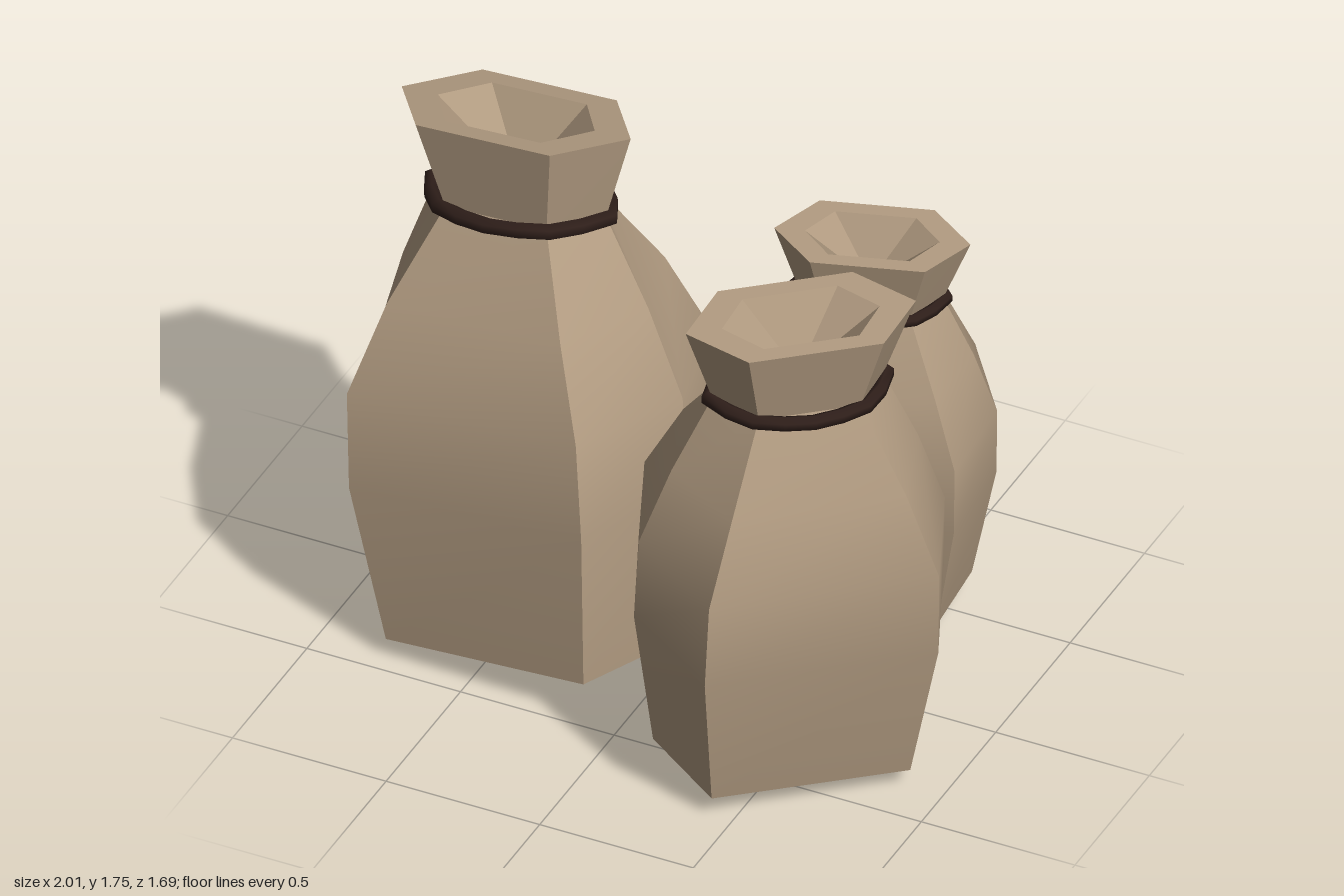
import * as THREE from 'three';
import { toCreasedNormals } from 'three/addons/utils/BufferGeometryUtils.js';

const cloth = new THREE.MeshStandardMaterial({ color: 0xb09a80 });
const cord = new THREE.MeshStandardMaterial({ color: 0x2f1f1a });

// Six-sided ring: long tips at +-tip on x, four corners at (+-a, +-b)
const hexRing = (y, tip, a, b) =>
  [[tip, 0], [a, b], [-a, b], [-tip, 0], [-a, -b], [a, -b]].map(([x, z]) => new THREE.Vector3(x, y, z));

// Rings from the base centre, up the outside, over the rim and down to the inner point
const rings = [
  [0, 0, 0, 0],
  [0, 0.395, 0.302, 0.31],
  [0.47, 0.47, 0.355, 0.365],
  [0.75, 0.465, 0.35, 0.357],
  [1.0, 0.375, 0.265, 0.27],
  [1.25, 0.26, 0.155, 0.13],
  [1.505, 0.35, 0.205, 0.173],
  [1.505, 0.24, 0.145, 0.12],
  [1.3, 0, 0, 0],
];

function sackGeometry() {
  const pos = [];
  const tri = (...pts) => pts.forEach((p) => pos.push(p.x, p.y, p.z));
  for (let r = 0; r < rings.length - 1; r++) {
    const low = hexRing(...rings[r]);
    const high = hexRing(...rings[r + 1]);
    for (let i = 0; i < 6; i++) {
      const j = (i + 1) % 6;
      if (rings[r][1] > 0) tri(low[i], high[i], low[j]);
      if (rings[r + 1][1] > 0) tri(low[j], high[i], high[j]);
    }
  }
  const geo = new THREE.BufferGeometry();
  geo.setAttribute('position', new THREE.Float32BufferAttribute(pos, 3));
  return toCreasedNormals(geo, 0.52);
}

// Cord round the neck, bulging at the middle of the long sides
function cordGeometry() {
  const pts = hexRing(1.25, 0.272, 0.165, 0.14);
  pts.splice(5, 0, new THREE.Vector3(0, 1.25, -0.178));
  pts.splice(2, 0, new THREE.Vector3(0, 1.25, 0.178));
  const path = new THREE.CatmullRomCurve3(pts, true, 'catmullrom', 0.3);
  return new THREE.TubeGeometry(path, 16, 0.024, 6, true);
}

export function createModel() {
  const model = new THREE.Group();
  const bodyGeo = sackGeometry();
  const ropeGeo = cordGeometry();

  // Each sack leans from its base centre towards its mouth centre
  const sacks = [
    { name: 'largeSack', base: [-0.41, 0.07, 0.12], mouth: [-0.585, 1.705, -0.05], yaw: -0.08, width: 1.115 },
    { name: 'mediumSack', base: [0.46, 0.078, 0.315], mouth: [0.54, 1.583, 0.36], yaw: 0.72, width: 1 },
    { name: 'smallSack', base: [0.325, 0.087, -0.49], mouth: [0.395, 1.327, -0.42], yaw: 0.35, width: 0.826 },
  ];
  const up = new THREE.Vector3(0, 1, 0);
  for (const { name, base, mouth, yaw, width } of sacks) {
    const sack = new THREE.Group();
    sack.name = name;
    sack.position.set(...base);
    const axis = new THREE.Vector3(...mouth).sub(sack.position);
    sack.scale.set(width, axis.length() / 1.505, width);
    sack.quaternion
      .setFromUnitVectors(up, axis.normalize())
      .multiply(new THREE.Quaternion().setFromAxisAngle(up, yaw));

    const body = new THREE.Mesh(bodyGeo, cloth);
    body.name = 'sackBody';
    const rope = new THREE.Mesh(ropeGeo, cord);
    rope.name = 'neckCord';
    sack.add(body, rope);
    model.add(sack);
  }
  return model;
}
